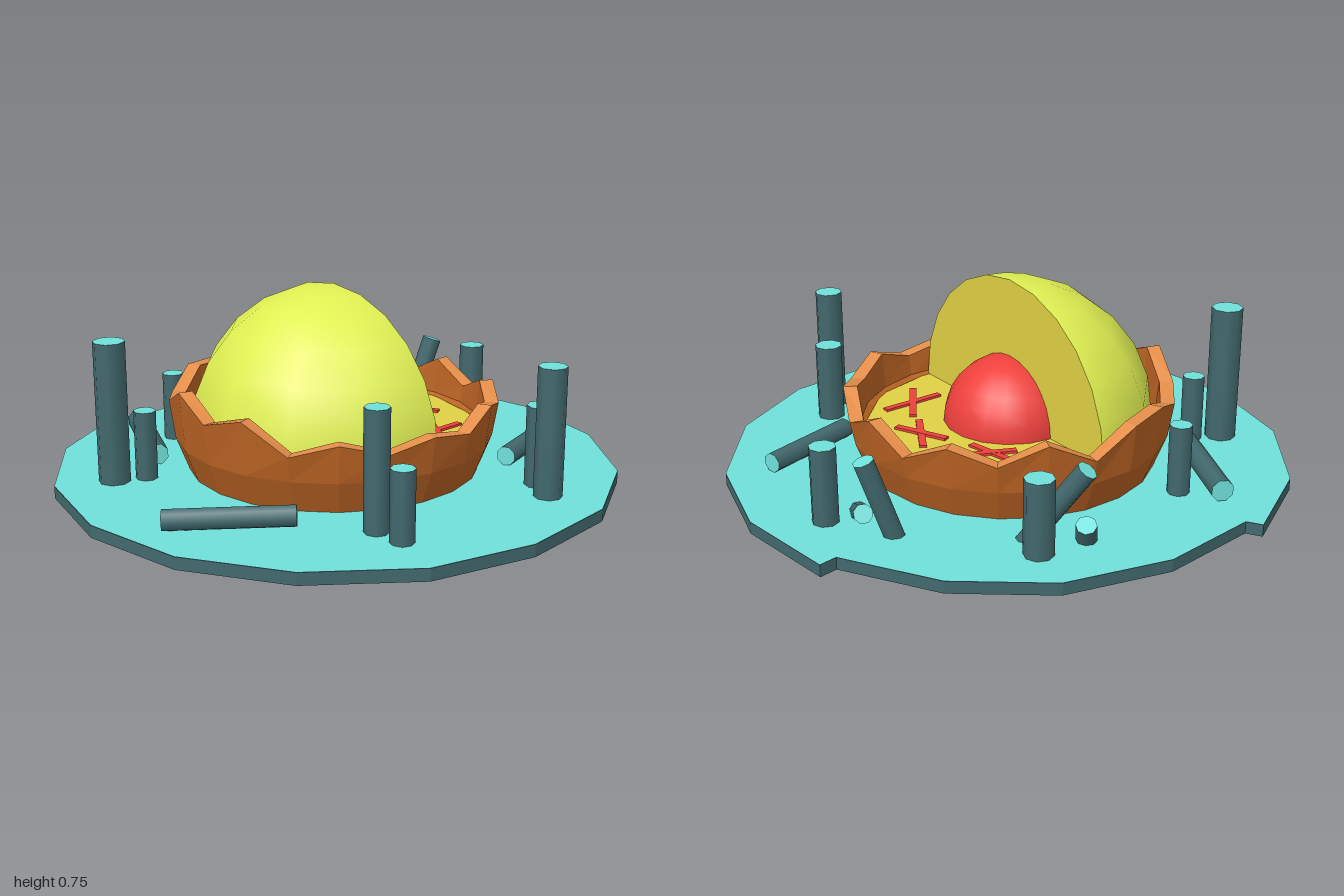
import * as THREE from 'three';

const mat = (color) => new THREE.MeshStandardMaterial({ color });
const CX = -0.03, FLOOR_Y = 0.25, R = 0.515;

export function createModel() {
  const group = new THREE.Group();
  const cyan = mat(0x70e0da), teal = mat(0x42696e), orange = mat(0xbc6424), rimOrange = mat(0xe58e4a);
  const lime = mat(0xdfef52), mustard = mat(0xe0d044), cutYellow = mat(0xe0d044), red = mat(0xee403c);

  const add = (name, geometry, material, x = 0, y = 0, z = 0) => {
    const mesh = new THREE.Mesh(geometry, material);
    mesh.name = name;
    mesh.position.set(x, y, z);
    group.add(mesh);
    return mesh;
  };

  // Ground disc: uneven outline with two stepped edges, [x, z]
  const outline = [
    [-0.33, -0.96], [0.05, -1], [0.42, -0.9], [0.74, -0.655], [0.93, -0.32], [0.97, 0.07],
    [0.875, 0.44], [0.625, 0.755], [0.285, 0.95], [-0.1, 0.995], [-0.48, 0.89], [-0.79, 0.645],
    [-0.97, 0.325], [-0.92, 0.295], [-0.96, -0.065], [-0.865, -0.43], [-0.64, -0.71], [-0.32, -0.895],
  ];
  const shape = new THREE.Shape(outline.map(([x, z]) => new THREE.Vector2(x, -z)));
  const slab = new THREE.ExtrudeGeometry(shape, { depth: 0.043, bevelEnabled: false });
  add('groundSlab', slab.rotateX(-Math.PI / 2), teal, 0, 0.07, 0);
  add('groundTop', new THREE.ShapeGeometry(shape).rotateX(-Math.PI / 2), cyan, 0, 0.115, 0);

  // Cracked shell: strips between rings, running from front towards +x
  const rimHeights = [
    0.375, 0.42, 0.32, 0.365, 0.325, 0.36, 0.335, 0.39, 0.35, 0.385, 0.32,
    0.39, 0.31, 0.38, 0.33, 0.4, 0.32, 0.4, 0.41, 0.355, 0.37, 0.445,
  ];
  const n = rimHeights.length;
  const strip = (name, rings, material) => {
    const pos = [], index = [];
    rings.forEach(([r, y], j) => {
      for (let k = 0; k <= n; k++) {
        const a = (k / n) * Math.PI * 2;
        pos.push(Math.sin(a) * r, y === null ? rimHeights[k % n] : y, Math.cos(a) * r);
        if (j > 0 && k < n) {
          const b = j * (n + 1) + k, c = b - n - 1;
          index.push(c, c + 1, b + 1, c, b + 1, b);
        }
      }
    });
    const indexed = new THREE.BufferGeometry();
    indexed.setAttribute('position', new THREE.Float32BufferAttribute(pos, 3));
    indexed.setIndex(index);
    const geometry = indexed.toNonIndexed();
    geometry.computeVertexNormals();
    add(name, geometry, material, CX);
  };
  strip('shellOutside', [[0.515, 0.1], [0.565, 0.23], [0.585, null]], orange);
  strip('shellRim', [[0.585, null], [0.535, null]], rimOrange);
  strip('shellInside', [[0.535, null], [0.525, 0.26], [0.44, 0.2]], orange);

  // Cutaway ball: front quarter, its flat cut, and the half floor behind
  add('ballSkin', new THREE.SphereGeometry(R, 6, 6, 0, Math.PI, 0, Math.PI / 2), lime, CX, FLOOR_Y, 0);
  add('ballCut', new THREE.CircleGeometry(R, 12, 0, Math.PI).rotateY(Math.PI), cutYellow, CX, FLOOR_Y, 0);
  add('ballFloor', new THREE.CircleGeometry(R, 12).rotateX(-Math.PI / 2), mustard, CX, FLOOR_Y, 0);
  add('core', new THREE.SphereGeometry(0.235, 9, 7, Math.PI, Math.PI, 0, Math.PI / 2), red, CX, FLOOR_Y, 0);

  // Crossed marks on the floor: x1, z1, x2, z2
  [
    [-0.33, -0.215, -0.145, -0.25], [-0.275, -0.155, -0.2, -0.32],
    [-0.06, -0.39, 0.13, -0.28], [-0.055, -0.29, 0.13, -0.375],
    [0.28, -0.325, 0.28, -0.09], [0.175, -0.275, 0.38, -0.14],
  ].forEach(([x1, z1, x2, z2], i) => {
    const bar = new THREE.BoxGeometry(Math.hypot(x2 - x1, z2 - z1), 0.01, 0.025);
    // the second bar of each cross sits a hair higher
    const mesh = add('crossBar', bar, red, (x1 + x2) / 2, FLOOR_Y + 0.003 + (i % 2) * 0.001, (z1 + z2) / 2);
    mesh.rotation.y = -Math.atan2(z2 - z1, x2 - x1);
  });

  // Posts and logs: a cylinder between two points, with pale ends
  const post = (name, r, from, to) => {
    const a = new THREE.Vector3(...from), b = new THREE.Vector3(...to);
    const dir = b.clone().sub(a);
    const mesh = add(name, new THREE.CylinderGeometry(r, r, dir.length(), 8), [teal, cyan, cyan]);
    mesh.position.copy(a).add(b).multiplyScalar(0.5);
    mesh.quaternion.setFromUnitVectors(new THREE.Vector3(0, 1, 0), dir.normalize());
  };

  // Standing posts: x, z, radius, bottom, top
  [
    [-0.385, 0.705, 0.056, 0.01, 0.615], [-0.335, 0.605, 0.039, 0.08, 0.36],
    [0.565, 0.365, 0.043, 0.08, 0.53], [0.68, 0.365, 0.041, 0.08, 0.36],
    [0.73, -0.28, 0.05, 0.06, 0.57], [0.635, -0.345, 0.05, 0.065, 0.4],
    [-0.095, -0.8, 0.046, 0.08, 0.385], [-0.685, -0.38, 0.051, 0.05, 0.38],
    [-0.63, 0.265, 0.039, 0.08, 0.365],
  ].forEach(([x, z, r, y0, y1]) => post('standingPost', r, [x, y0, z], [x, y1, z]));

  // Fallen logs
  post('fallenLog', 0.037, [0.095, 0.15, 0.855], [0.385, 0.165, 0.54]);
  post('fallenLog', 0.04, [-0.78, 0.16, 0.325], [-0.4, 0.16, 0.51]);
  post('fallenLog', 0.036, [0.33, 0.15, -0.765], [0.435, 0.15, -0.405]);

  // Leaning posts
  post('leaningPost', 0.036, [-0.315, 0.03, -0.645], [-0.27, 0.385, -0.755]);
  post('leaningPost', 0.033, [-0.04, 0.08, -0.645], [-0.25, 0.19, -0.75]);
  post('leaningPost', 0.036, [-0.55, 0.05, -0.37], [-0.74, 0.385, -0.235]);
  post('leaningPost', 0.035, [-0.675, 0.05, -0.175], [-0.735, 0.19, -0.23]);

  return group;
}
